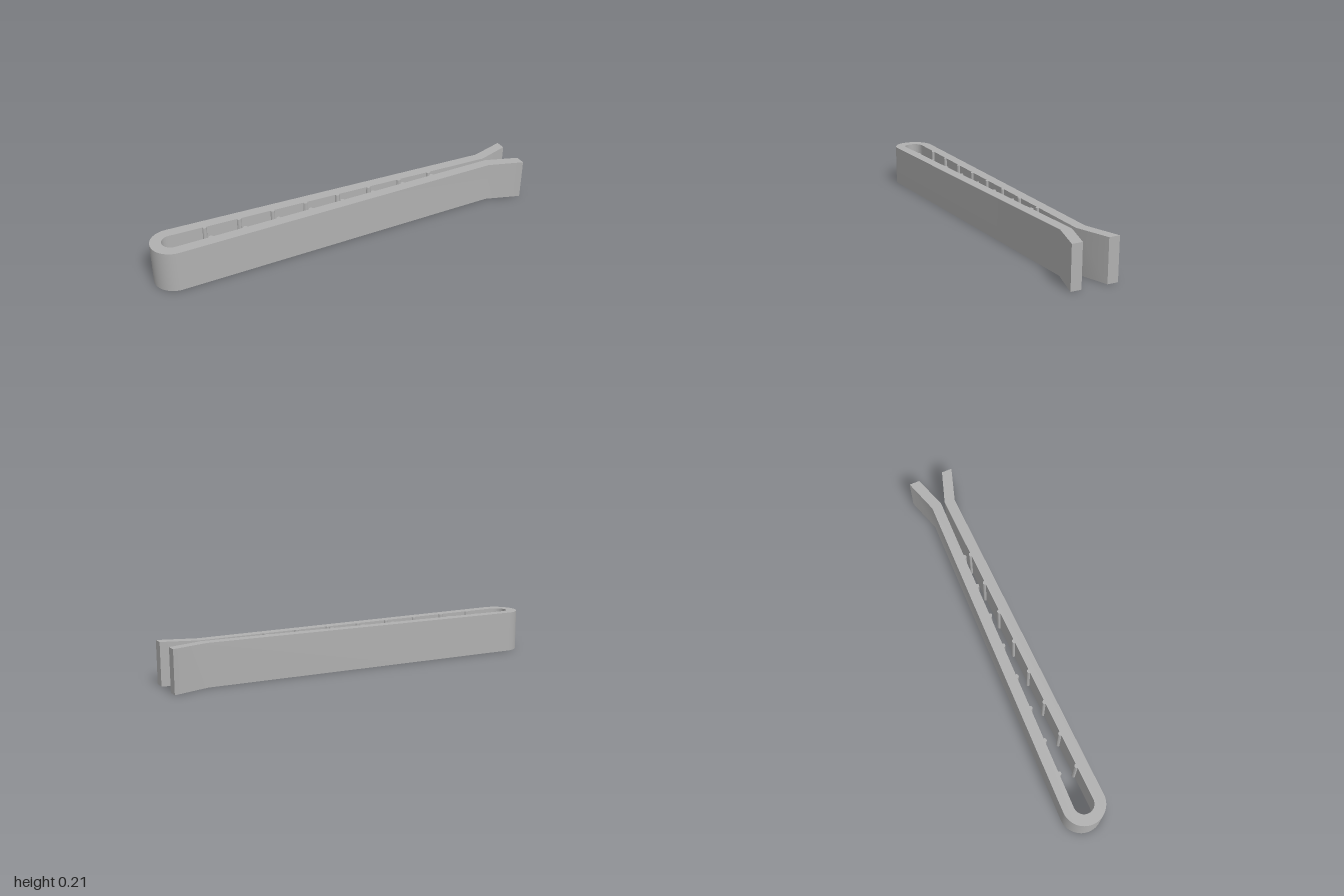
import * as THREE from 'three';
import { toCreasedNormals } from 'three/addons/utils/BufferGeometryUtils.js';

const HEIGHT = 0.21;
const BEND_X = -0.895, OUTER_R = 0.105, INNER_R = 0.05;
const PINCH_X = 0.83, PINCH_IN = 0.01;
const RIDGE_R = 0.011, RIDGES = 8, RIDGE_START = -0.72, RIDGE_STEP = 0.1737;

// Half-circle points around the closed end, from +y round to -y
function bend(radius, steps) {
  const pts = [];
  for (let i = 0; i <= steps; i++) {
    const a = Math.PI / 2 + (Math.PI * i) / steps;
    pts.push(new THREE.Vector2(BEND_X + radius * Math.cos(a), radius * Math.sin(a)));
  }
  return pts;
}

// Inner edge of the +y arm, from the closed end to the tip, with gripping ridges
function innerArm() {
  const pts = [];
  const slope = (PINCH_IN - INNER_R) / (PINCH_X - BEND_X);
  const tilt = Math.atan(slope);
  for (let i = 0; i < RIDGES; i++) {
    const x = RIDGE_START + i * RIDGE_STEP;
    const y = INNER_R + slope * (x - BEND_X);
    for (let k = 0; k <= 8; k++) {
      const a = Math.PI + tilt + (Math.PI * k) / 8;
      pts.push(new THREE.Vector2(x + RIDGE_R * Math.cos(a), y + RIDGE_R * Math.sin(a)));
    }
  }
  pts.push(new THREE.Vector2(PINCH_X, PINCH_IN), new THREE.Vector2(1, 0.065));
  return pts;
}

const mirror = (pts) => pts.map((p) => new THREE.Vector2(p.x, -p.y));

export function createModel() {
  const group = new THREE.Group();
  group.name = 'clip';
  const grey = new THREE.MeshStandardMaterial({ color: 0xb0b0b0 });
  grey.name = 'grey plastic';

  // One closed outline: outer face, flared tips, ridged inner faces
  const arm = innerArm();
  const tip = [new THREE.Vector2(1, 0.119), new THREE.Vector2(0.82, 0.063)];
  const outline = [
    ...tip,
    ...bend(OUTER_R, 32),
    ...mirror(tip).reverse(),
    ...mirror(arm).reverse(),
    ...bend(INNER_R, 32).reverse(),
    ...arm,
  ];

  const geometry = new THREE.ExtrudeGeometry(new THREE.Shape(outline), {
    depth: HEIGHT,
    bevelEnabled: false,
  });
  geometry.rotateX(-Math.PI / 2);

  const body = new THREE.Mesh(toCreasedNormals(geometry, Math.PI / 7), grey);
  body.name = 'clipBody';
  group.add(body);
  return group;
}
